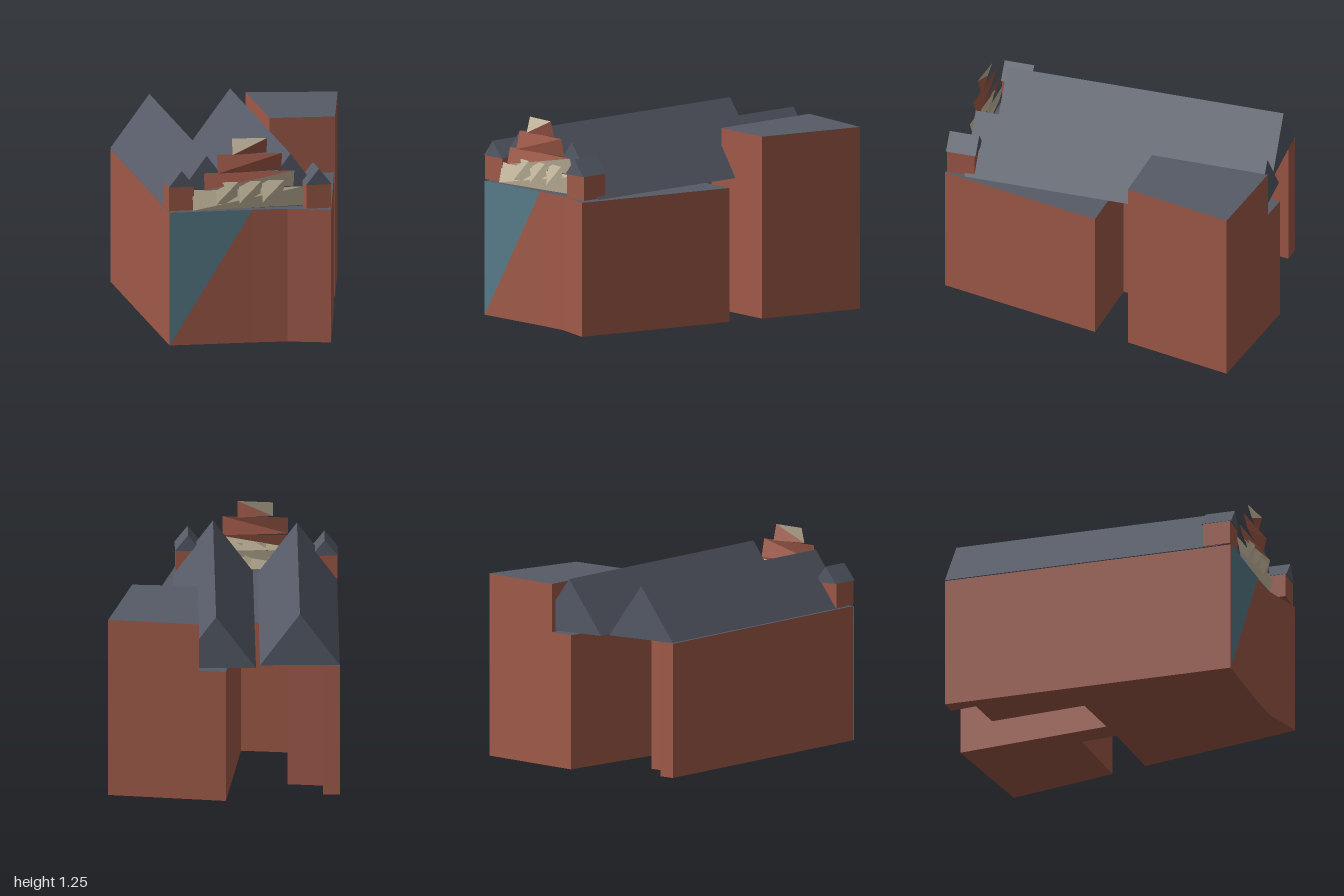
import * as THREE from 'three';

const slate = new THREE.MeshStandardMaterial({ color: 0x565b67 });
slate.name = 'slate';
const brick = new THREE.MeshStandardMaterial({ color: 0xa05a49, side: THREE.DoubleSide });
brick.name = 'brick';
const teal = new THREE.MeshStandardMaterial({ color: 0x587b89, side: THREE.DoubleSide });
teal.name = 'teal';
const cream = new THREE.MeshStandardMaterial({ color: 0xcabda2, side: THREE.DoubleSide });
cream.name = 'cream';

const EAVE = 0.81;

function add(parent, name, geometry, material) {
  const mesh = new THREE.Mesh(geometry, material);
  mesh.name = name;
  parent.add(mesh);
  return mesh;
}

// Upright block over a plan of [x, z] corners: brick walls and floor, slate top
function block(parent, name, plan, y0, y1) {
  const shape = new THREE.Shape(plan.map(([x, z]) => new THREE.Vector2(x, -z)));
  const g = new THREE.ExtrudeGeometry(shape, { depth: y1 - y0, bevelEnabled: false });
  g.rotateX(-Math.PI / 2).translate(0, y0, 0);
  const [caps, walls] = g.groups.map((r) => ({ ...r }));
  const half = caps.count / 2; // bottom cap comes first
  g.clearGroups();
  g.addGroup(0, half, 1);
  g.addGroup(half, half, 0);
  g.addGroup(walls.start, walls.count, 1);
  return add(parent, name, g, [slate, brick]);
}

// Ridged roof running along z
function gableRoof(parent, name, x0, x1, y0, y1, zBack, zFront) {
  const shape = new THREE.Shape([
    new THREE.Vector2(x0, y0),
    new THREE.Vector2(x1, y0),
    new THREE.Vector2((x0 + x1) / 2, y1),
  ]);
  const g = new THREE.ExtrudeGeometry(shape, { depth: zFront - zBack, bevelEnabled: false });
  return add(parent, name, g.translate(0, 0, zBack), slate);
}

// Sheet twisted in depth and folded from bottom left to top right
function twistedPanel(parent, name, x0, x1, y0, y1, zBack, zFront, upper, lower) {
  const TL = [x0, y1, zBack], BL = [x0, y0, zFront];
  const TR = [x1, y1, zFront], BR = [x1, y0, zBack];
  const g = new THREE.BufferGeometry();
  g.setAttribute('position', new THREE.Float32BufferAttribute(
    [TL, BL, TR, BL, BR, TR].flat(), 3));
  g.computeVertexNormals();
  g.addGroup(0, 3, 0);
  g.addGroup(3, 3, 1);
  return add(parent, name, g, [upper, lower]);
}

function turret(parent, name, x, z) {
  const t = new THREE.Group();
  t.name = name;
  const body = new THREE.BoxGeometry(0.15, 0.145, 0.17);
  add(t, 'turretBody', body.translate(0, 0.8925, 0), brick);
  gableRoof(t, 'turretRoof', -0.078, 0.078, 0.965, 1.063, -0.092, 0.092);
  t.position.set(x, 0, z);
  parent.add(t);
}

export function createModel() {
  const house = new THREE.Group();
  house.name = 'building';

  // Main body with a bent front and notched rear
  block(house, 'mainBody', [
    [-0.69, 0.89], [-0.19, 0.905], [0.02, 0.92], [0.27, 1.0],
    [0.49, 0.0], [0.03, -0.04], [0.055, -0.26], [0.54, -0.22],
    [0.69, -0.88], [-0.01, -1.0], [-0.11, -0.06], [-0.43, -0.1],
    [-0.38, -0.69], [-0.61, -0.72], [-0.59, -0.88], [-0.69, -0.89],
  ], 0, EAVE);

  // Raised rear wing
  block(house, 'rearWing', [
    [0.54, -0.22], [0.69, -0.88], [0.15, -0.973], [0.15, -0.253],
  ], EAVE, 1.1);

  // Teal triangle on the front wall
  const g = new THREE.BufferGeometry();
  g.setAttribute('position', new THREE.Float32BufferAttribute(
    [-0.69, EAVE, 0.893, -0.69, 0, 0.893, -0.19, EAVE, 0.908], 3));
  g.computeVertexNormals();
  add(house, 'frontTealPanel', g, teal);

  // Twin long roofs
  gableRoof(house, 'rightRoof', -0.69, -0.215, 0.815, 1.135, -0.89, 0.83);
  gableRoof(house, 'leftRoof', -0.19, 0.285, 0.815, 1.135, -0.94, 0.875);

  // Corner turrets
  turret(house, 'rightTurret', -0.617, 0.803);
  turret(house, 'leftTurret', 0.197, 0.9);

  // Stepped front gable
  const gable = new THREE.Group();
  gable.name = 'steppedGable';
  house.add(gable);
  [
    [-0.55, 0.12, 0.82, 0.94, cream, cream],
    [-0.48, 0.065, 0.94, 1.04, brick, cream],
    [-0.4, -0.01, 1.04, 1.15, brick, brick],
    [-0.31, -0.1, 1.15, 1.245, cream, brick],
  ].forEach(([x0, x1, y0, y1, upper, lower], i) =>
    twistedPanel(gable, 'gableStep' + (i + 1), x0, x1, y0, y1, 0.88, 0.907, upper, lower));

  // Row of window panels
  for (let i = 0; i < 3; i++) {
    const x = -0.41 + i * 0.14;
    twistedPanel(gable, 'windowPanel' + (i + 1), x, x + 0.13, 0.855, 0.985, 0.893, 0.918, cream, cream);
  }
  return house;
}
